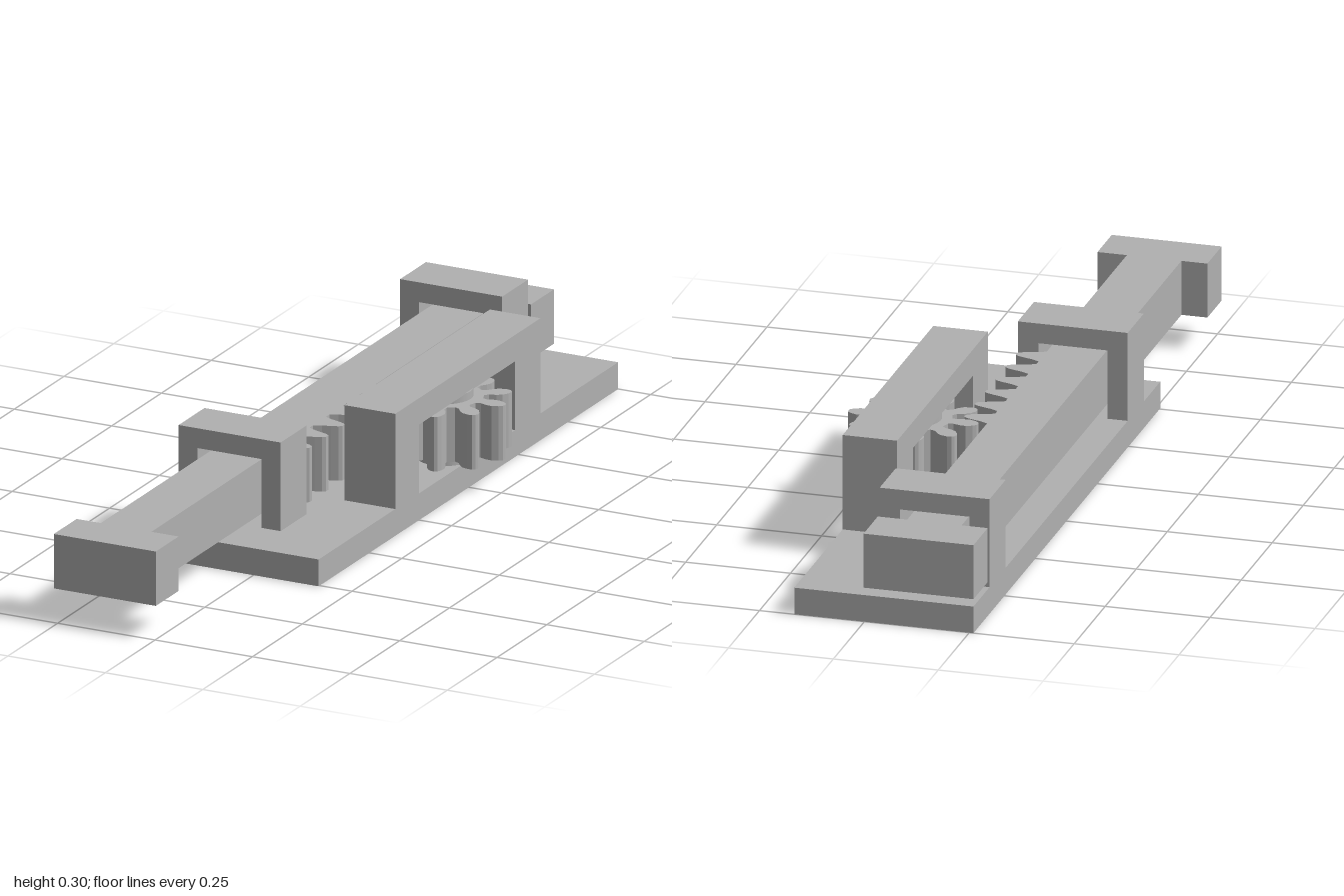
import * as THREE from 'three';

const grey = new THREE.MeshStandardMaterial({ color: 0xb0b0b0 });
grey.name = 'plain grey';

function add(parent, name, geometry, x = 0, y = 0, z = 0) {
  const mesh = new THREE.Mesh(geometry, grey);
  mesh.name = name;
  mesh.position.set(x, y, z);
  parent.add(mesh);
  return mesh;
}

const shapeOf = (points) => new THREE.Shape(points.map(([x, y]) => new THREE.Vector2(x, y)));
const extrude = (points, depth) =>
  new THREE.ExtrudeGeometry(shapeOf(points), { depth, bevelEnabled: false });

// Plan outline of [x, z] points raised to a given height
const raise = (plan, height) =>
  extrude(plan.map(([x, z]) => [x, -z]), height).rotateX(-Math.PI / 2);

// Upside-down U: two legs joined by a top beam
const arch = (a, b, innerA, innerB, bottom, innerTop, top, depth) =>
  extrude([[a, bottom], [innerA, bottom], [innerA, innerTop], [innerB, innerTop],
    [innerB, bottom], [b, bottom], [b, top], [a, top]], depth);

const LEFT = -0.26, RIGHT = 0.167, BASE_TOP = 0.065;
const BAR_Y = 0.083, BAR_H = 0.132;
const GEAR_X = 0.105, GEAR_Z = -0.25, TEETH = 10, PITCH = 0.083;

// Sliding bar with a T head at each end and rack teeth on one side
function rackPlan() {
  const headRight = 0.002, barLeft = -0.198, barRight = -0.068, head = 0.885;
  const plan = [[LEFT, 1], [headRight, 1], [headRight, head], [barRight, head]];
  const tooth = [[-0.068, 0.033], [-0.05, 0.024], [-0.03, 0.018], [-0.013, 0.012], [-0.006, 0.006]];
  for (let i = 5; i >= 0; i--) {
    const z = GEAR_Z + PITCH * (i + 0.5);
    for (const [x, w] of tooth) plan.push([x, z + w]);
    for (const [x, w] of [...tooth].reverse()) plan.push([x, z - w]);
  }
  plan.push([barRight, -head], [headRight, -head], [headRight, -1], [LEFT, -1],
    [LEFT, -head], [barLeft, -head], [barLeft, head], [LEFT, head]);
  return plan;
}

// Pinion outline: narrow-waisted teeth with rounded tips
function gearPlan() {
  const plan = [];
  const flank = [[0.088, 0.018], [0.1, 0.015], [0.116, 0.02], [0.13, 0.021], [0.145, 0.015], [0.153, 0.008]];
  const both = [...flank.map(([r, w]) => [r, -w]), [0.155, 0], ...[...flank].reverse()];
  for (let i = 0; i < TEETH; i++) {
    const a = (i * 2 * Math.PI) / TEETH, c = Math.cos(a), s = Math.sin(a);
    for (const [r, w] of both) plan.push([r * c - w * s, r * s + w * c]);
  }
  return plan;
}

export function createModel() {
  const model = new THREE.Group();
  model.name = 'rackAndPinion';

  // Base plate
  add(model, 'basePlate', new THREE.BoxGeometry(RIGHT - LEFT, BASE_TOP, 1.505),
    (LEFT + RIGHT) / 2, BASE_TOP / 2, -0.2475);

  // Guides around the sliding bar
  for (const [name, z] of [['frontGuide', 0.243], ['backGuide', -0.87]]) {
    add(model, name, arch(LEFT, 0.002, -0.212, -0.047, BASE_TOP, 0.232, 0.28, 0.13), 0, 0, z);
  }

  // Housing over the pinion, open on both sides
  const housing = arch(-0.12, 0.61, 0, 0.482, BASE_TOP, 0.232, 0.296, 0.13);
  housing.rotateY(Math.PI / 2);
  add(model, 'gearHousing', housing, 0.037, 0, 0);

  // Sliding rack
  add(model, 'slidingRack', raise(rackPlan(), BAR_H), 0, BAR_Y, 0);

  // Pinion and its hub
  const pinion = new THREE.Group();
  pinion.name = 'pinion';
  pinion.position.set(GEAR_X, 0, GEAR_Z);
  add(pinion, 'gear', raise(gearPlan(), BAR_H), 0, BAR_Y, 0);
  add(pinion, 'hub', new THREE.CylinderGeometry(0.066, 0.066, 0.17, 32), 0, 0.149, 0);
  model.add(pinion);

  return model;
}
